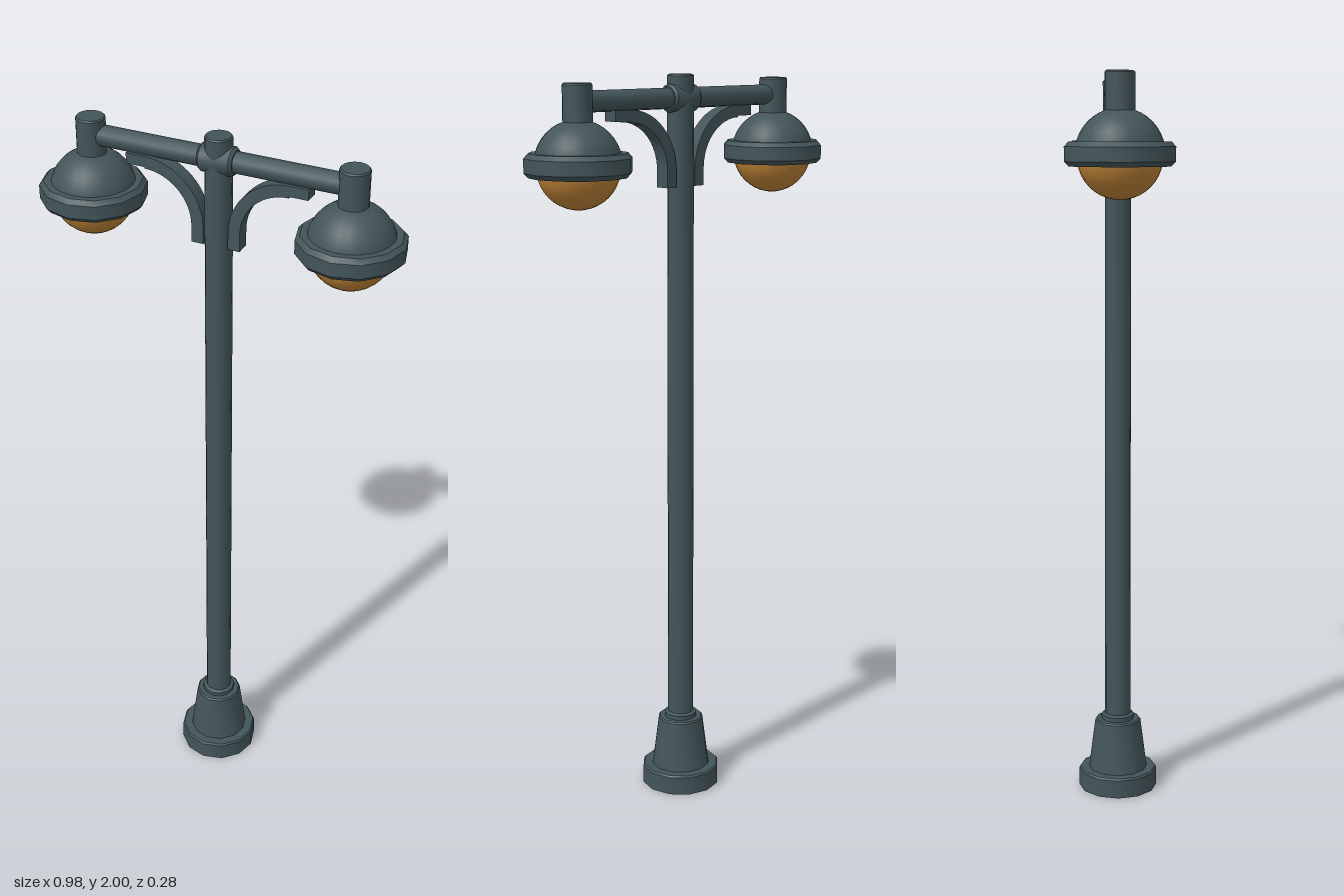
import * as THREE from 'three';
import { toCreasedNormals } from 'three/addons/utils/BufferGeometryUtils.js';

const iron = new THREE.MeshStandardMaterial({ color: 0x43555a });
iron.name = 'slate iron';
const amber = new THREE.MeshStandardMaterial({ color: 0xbd8236 });
amber.name = 'amber glass';

function add(parent, name, geometry, material, x = 0, y = 0, z = 0) {
  const mesh = new THREE.Mesh(geometry, material);
  mesh.name = name;
  mesh.position.set(x, y, z);
  parent.add(mesh);
  return mesh;
}

// Turned part from [radius, height] pairs, listed bottom to top
function turned(profile, sides, crease = 0.6) {
  const points = profile.map(([r, y]) => new THREE.Vector2(r, y));
  return toCreasedNormals(new THREE.LatheGeometry(points, sides), crease);
}

// Curved brace: a bent strip running from the post to the arm
function braceGeometry() {
  const s = new THREE.Shape();
  s.moveTo(0.034, 1.71);
  s.lineTo(0.034, 1.755);
  s.absarc(0.194, 1.755, 0.16, Math.PI, Math.PI / 2, true);
  s.lineTo(0.245, 1.915);
  s.lineTo(0.245, 1.887);
  s.lineTo(0.194, 1.887);
  s.absarc(0.194, 1.755, 0.128, Math.PI / 2, Math.PI, false);
  s.lineTo(0.066, 1.71);
  s.closePath();
  const g = new THREE.ExtrudeGeometry(s, { depth: 0.04, bevelEnabled: false, curveSegments: 8 });
  g.translate(0, 0, -0.02);
  return toCreasedNormals(g, 0.6);
}

function lampSide() {
  const side = new THREE.Group();
  const lampX = 0.352;

  // Horizontal arm
  const arm = new THREE.CylinderGeometry(0.027, 0.027, lampX, 12);
  arm.rotateZ(Math.PI / 2);
  add(side, 'arm', arm, iron, lampX / 2, 1.939);
  add(side, 'brace', braceGeometry(), iron);

  // Lamp head: cap, dome, rim and globe
  const lamp = new THREE.Group();
  lamp.name = 'lamp';
  lamp.position.x = lampX;
  side.add(lamp);
  add(lamp, 'lampCap', turned([[0, 1.87], [0.038, 1.87], [0.038, 1.981], [0.035, 1.985], [0, 1.985]], 16), iron);
  add(lamp, 'lampDome', new THREE.SphereGeometry(0.112, 24, 10, 0, Math.PI * 2, 0, Math.PI / 2), iron, 0, 1.785);
  add(lamp, 'lampRim', turned([
    [0.09, 1.755], [0.127, 1.755], [0.138, 1.767], [0.138, 1.803], [0.127, 1.815], [0.09, 1.815],
  ], 12), iron);
  add(lamp, 'lampGlobe', new THREE.SphereGeometry(0.107, 24, 10, 0, Math.PI * 2, Math.PI / 2, Math.PI / 2), amber, 0, 1.78);
  return side;
}

export function createModel() {
  const model = new THREE.Group();
  model.name = 'streetLamp';

  // Foot, tapered plinth and post
  add(model, 'foot', turned([[0, 0], [0.11, 0], [0.11, 0.051], [0.106, 0.056], [0, 0.056]], 12), iron);
  add(model, 'plinth', turned([[0.082, 0.056], [0.064, 0.196], [0.06, 0.2], [0, 0.2]], 12), iron);
  add(model, 'postRing', turned([[0.046, 0.2], [0.046, 0.212], [0.036, 0.217]], 12), iron);
  add(model, 'post', turned([[0.036, 0.2], [0.035, 1.996], [0.032, 2], [0, 2]], 16), iron);

  // Sleeve where the arms pass through the post
  const sleeve = turned([[0, -0.047], [0.031, -0.047], [0.037, -0.04], [0.037, 0.04], [0.031, 0.047], [0, 0.047]], 12);
  sleeve.rotateZ(Math.PI / 2);
  add(model, 'armSleeve', sleeve, iron, 0, 1.939);

  // Matching lamps on both sides
  for (const [name, turn] of [['leftLamp', 0], ['rightLamp', Math.PI]]) {
    const side = lampSide();
    side.name = name;
    side.rotation.y = turn;
    model.add(side);
  }
  return model;
}
